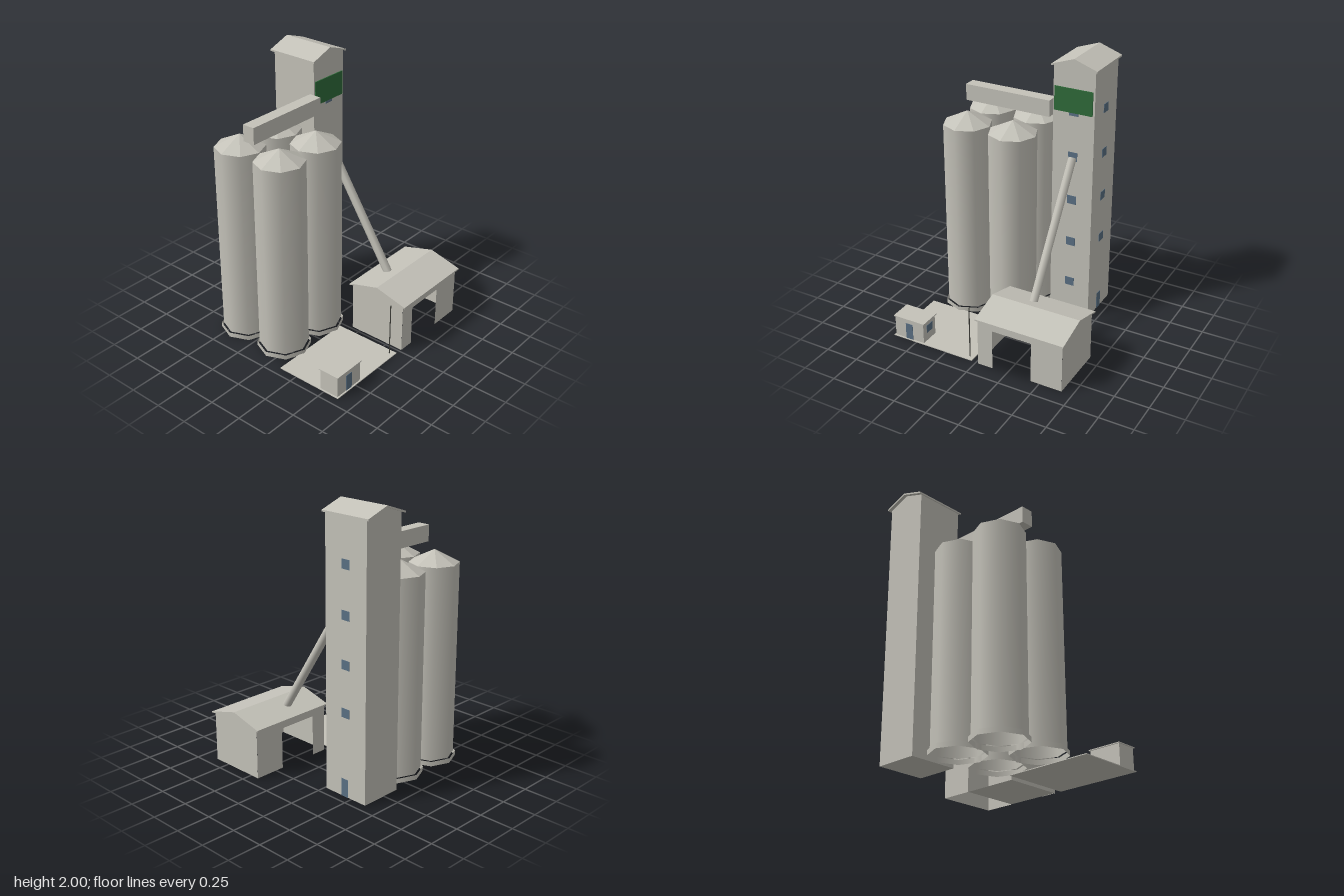
import * as THREE from 'three';

const mat = (name, color, side = THREE.FrontSide) => {
  const m = new THREE.MeshStandardMaterial({ color, side });
  m.name = name;
  return m;
};

export function createModel() {
  const root = new THREE.Group();
  root.name = 'grainElevator';
  const concrete = mat('concrete', 0xc4c2b9, THREE.DoubleSide);
  const glass = mat('blueGlass', 0x5a7084);
  const green = mat('greenBoard', 0x2f6b3a);
  const dark = mat('darkMetal', 0x45453f);

  const add = (name, geo, m = concrete, parent = root) => {
    const mesh = new THREE.Mesh(geo, m);
    mesh.name = name;
    parent.add(mesh);
    return mesh;
  };
  // Box given by its extents on each axis
  const box = (name, x0, x1, y0, y1, z0, z1, m) => {
    const mesh = add(name, new THREE.BoxGeometry(x1 - x0, y1 - y0, z1 - z0), m);
    mesh.position.set((x0 + x1) / 2, (y0 + y1) / 2, (z0 + z1) / 2);
    return mesh;
  };
  const prism = (pts, depth) => new THREE.ExtrudeGeometry(
    new THREE.Shape(pts.map(p => new THREE.Vector2(...p))), { depth, bevelEnabled: false });
  // Thin gable roof profile, centred on u = 0
  const chevron = (half, eave, ridge, t) =>
    [[-half, eave], [0, ridge - t], [half, eave], [half, eave + t], [0, ridge], [-half, eave + t]];

  // Tower with gabled top
  const tx = 0.278;
  add('towerBody', prism([[-0.158, 0], [0.157, 0], [0.157, 1.935], [0, 1.988], [-0.158, 1.935]], 0.36))
    .position.set(tx, 0, -0.625);
  add('towerRoof', prism(chevron(0.172, 1.928, 2, 0.012), 0.4)).position.set(tx, 0, -0.65);

  // Tower windows, door and sign board
  for (let i = 0; i < 5; i++) {
    const y = 0.24 + i * 0.337;
    box('frontWindow', 0.243, 0.313, y, y + 0.065, -0.266, -0.262, glass);
    if (i > 0) box('sideWindow', 0.434, 0.438, y, y + 0.065, -0.48, -0.41, glass);
  }
  box('towerDoor', 0.434, 0.438, 0, 0.13, -0.47, -0.41, glass);
  box('signBoard', 0.13, 0.42, 1.61, 1.785, -0.265, -0.257, green);

  // Four eight-sided silos with cone caps and separate footing rings
  for (const x of [-0.455, -0.09]) for (const z of [-0.43, -0.07]) {
    const silo = new THREE.Group();
    silo.name = 'silo';
    silo.position.set(x, 0, z);
    root.add(silo);
    add('siloWall', new THREE.CylinderGeometry(0.177, 0.177, 1.43, 8, 1, true), concrete, silo).position.y = 0.75;
    const cone = new THREE.ConeGeometry(0.177, 0.09, 8, 1, true).toNonIndexed();
    cone.computeVertexNormals();
    add('siloCap', cone, concrete, silo).position.y = 1.51;
    add('siloFooting', new THREE.CylinderGeometry(0.193, 0.193, 0.035, 8, 1, true), concrete, silo).position.y = 0.0175;
  }

  // Conveyor gallery over the silos
  box('gallery', -0.547, 0.12, 1.57, 1.69, -0.3, -0.207);

  // Sloping chute from the tower to the shed roof
  const a = new THREE.Vector3(tx, 1.275, -0.262), b = new THREE.Vector3(tx, 0.385, 0.308);
  const dir = a.clone().sub(b);
  const chute = add('chute', new THREE.CylinderGeometry(0.031, 0.031, dir.length(), 8, 1, true));
  chute.position.copy(a).add(b).multiplyScalar(0.5);
  chute.quaternion.setFromUnitVectors(new THREE.Vector3(0, 1, 0), dir.normalize());

  // Drive-through shed: hollow walls with front and back openings
  const doorWall = new THREE.ShapeGeometry(new THREE.Shape([
    [0.02, 0], [0.135, 0], [0.135, 0.305], [0.435, 0.305], [0.435, 0],
    [0.67, 0], [0.67, 0.372], [0.02, 0.372]].map(p => new THREE.Vector2(...p))));
  add('shedFrontWall', doorWall).position.z = 0.625;
  // Turned about so that it faces backwards
  const back = add('shedBackWall', doorWall.clone().scale(-1, 1, 1).rotateY(Math.PI));
  const idx = back.geometry.index.array;
  for (let i = 0; i < idx.length; i += 3) [idx[i], idx[i + 1]] = [idx[i + 1], idx[i]];
  back.position.z = 0.18;
  const gable = new THREE.ShapeGeometry(new THREE.Shape([
    [-0.222, 0], [0.222, 0], [0.222, 0.37], [0, 0.43], [-0.222, 0.37]].map(p => new THREE.Vector2(...p))));
  for (const [x, s] of [[0.67, 1], [0.02, -1]]) {
    const g = add('shedEndWall', gable);
    g.rotation.y = s * Math.PI / 2;
    g.position.set(x, 0, 0.4025);
  }
  const roof = add('shedRoof', prism(chevron(0.245, 0.363, 0.44, 0.011), 0.675));
  roof.rotation.y = Math.PI / 2;
  roof.position.set(0.01, 0, 0.4);
  // Shed floor underside
  const under = concrete.clone();
  under.side = THREE.FrontSide;
  const floor = add('shedFloor', new THREE.PlaneGeometry(0.415, 0.44), under);
  floor.rotation.x = Math.PI / 2;
  floor.position.set(0.2275, 0.001, 0.4025);

  // Yard slab, pole and weigh office
  box('yardSlab', -0.69, -0.035, 0, 0.006, 0.105, 0.623);
  add('pole', new THREE.CylinderGeometry(0.004, 0.004, 0.41, 6), dark).position.set(-0.07, 0.205, 0.585);
  box('officeBody', -0.68, -0.441, 0, 0.168, 0.463, 0.612);
  box('officeRoof', -0.688, -0.432, 0.163, 0.17, 0.455, 0.62);
  box('officeDoor', -0.59, -0.532, 0.006, 0.13, 0.611, 0.615, glass);
  box('officeWindow', -0.442, -0.438, 0.07, 0.13, 0.5, 0.57, glass);

  return root;
}
